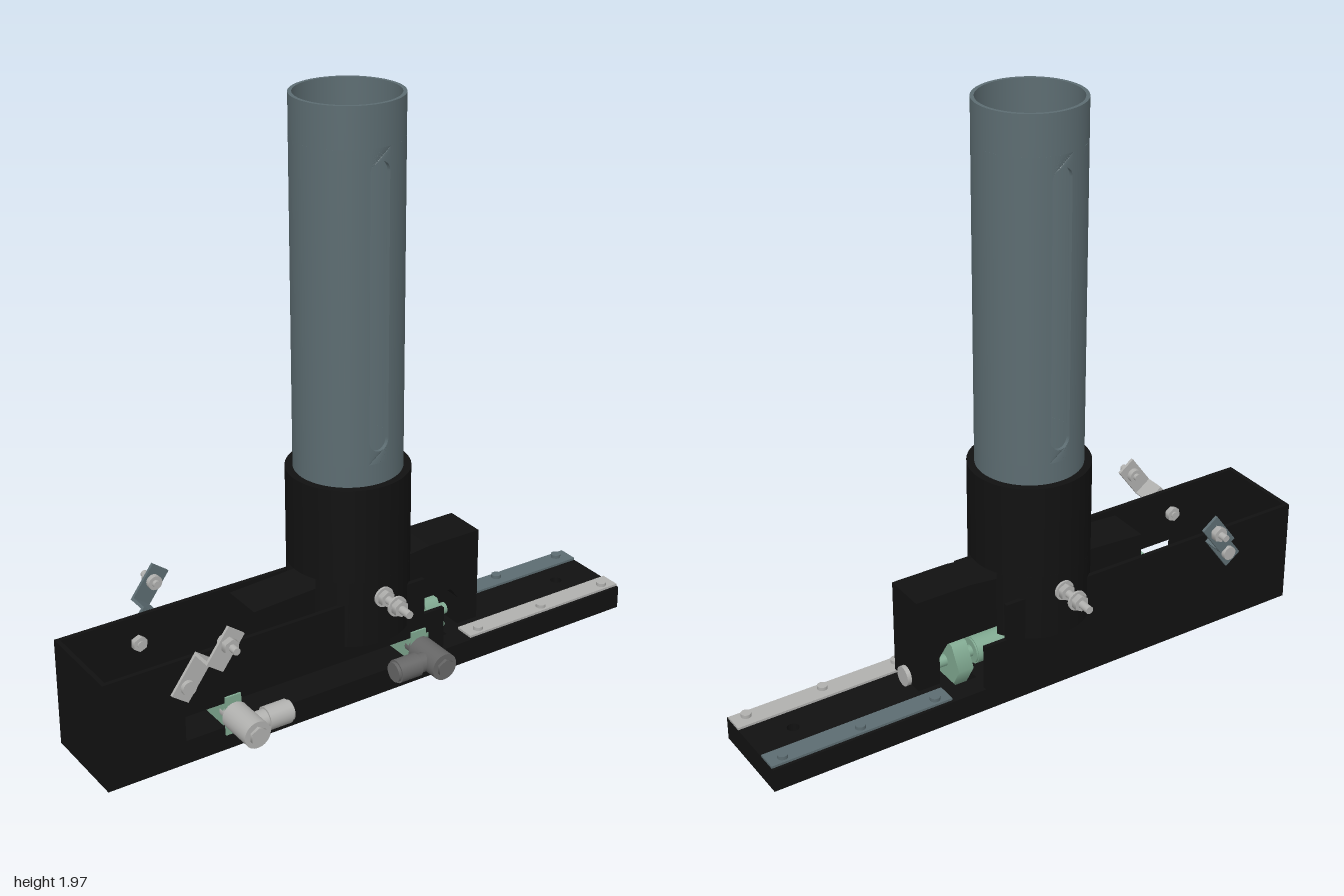
import * as THREE from 'three';

const mat = (color) => new THREE.MeshStandardMaterial({ color, side: THREE.DoubleSide });
const black = mat(0x111111), slate = mat(0x5c6c71), green = mat(0x7fa890);
const light = mat(0xb0b0ae), dark = mat(0x666666);
const CX = -0.03; // column axis

export function createModel() {
  const root = new THREE.Group();

  const add = (name, geo, m, x = 0, y = 0, z = 0, parent = root) => {
    const mesh = new THREE.Mesh(geo, m);
    mesh.name = name;
    mesh.position.set(x, y, z);
    parent.add(mesh);
    return mesh;
  };
  const box = (name, m, x0, x1, y0, y1, z0, z1, parent) =>
    add(name, new THREE.BoxGeometry(x1 - x0, y1 - y0, z1 - z0), m,
      (x0 + x1) / 2, (y0 + y1) / 2, (z0 + z1) / 2, parent);
  // Cylinder from a to b along one axis, centred on p
  const rod = (name, m, axis, r, a, b, p, parent, sides = 24) => {
    const g = new THREE.CylinderGeometry(r, r, b - a, sides);
    if (axis === 'x') g.rotateZ(Math.PI / 2);
    if (axis === 'z') g.rotateX(Math.PI / 2);
    const mesh = add(name, g, m, ...p, parent);
    mesh.position[axis] = (a + b) / 2;
    return mesh;
  };
  const poly = (pts) => new THREE.Shape(pts.map(([x, y]) => new THREE.Vector2(x, y)));
  const extrude = (shape, depth, curveSegments = 24) =>
    new THREE.ExtrudeGeometry(shape, { depth, bevelEnabled: false, curveSegments });
  // Upright pipe sector; angle measured from +x towards +z
  const sector = (name, m, ro, ri, a0, a1, y0, y1) => {
    const s = new THREE.Shape();
    s.absarc(0, 0, ro, a0, a1, false);
    s.absarc(0, 0, ri, a1, a0, true);
    const g = extrude(s, y1 - y0, 32);
    g.rotateX(Math.PI / 2);
    add(name, g, m, CX, y1, 0);
  };
  const ring = (name, m, ro, ri, y0, y1) => {
    const pts = [[ri, y0], [ro, y0], [ro, y0], [ro, y1], [ro, y1], [ri, y1], [ri, y1], [ri, y0]];
    add(name, new THREE.LatheGeometry(pts.map(([x, y]) => new THREE.Vector2(x, y)), 64), m, CX);
  };

  // Base slab with end holes and a pocket under the nut
  const plan = poly([[-1, -0.16], [1, -0.16], [1, 0.16], [-1, 0.16]]);
  for (const x of [-0.92, 0.85]) {
    const hole = new THREE.Path();
    hole.absarc(x, 0, 0.02, 0, Math.PI * 2, true);
    plan.holes.push(hole);
  }
  plan.holes.push(poly([[0.23, -0.085], [0.23, 0.085], [0.31, 0.085], [0.31, -0.085]]));
  const slab = extrude(plan, 0.08);
  slab.rotateX(-Math.PI / 2);
  add('baseSlab', slab, black);

  // Channel walls; the front one has a window for the cylinder
  const outline = [[-1, 0.08], [0.24, 0.08], [0.24, 0.24], [0.16, 0.24], [0.16, 0.37], [-1, 0.37]];
  const frontShape = poly(outline);
  frontShape.holes.push(poly([[-0.73, 0.082], [-0.73, 0.168], [0.19, 0.168], [0.19, 0.082]]));
  add('frontWall', extrude(frontShape, 0.015), black, 0, 0, 0.145);
  add('backWall', extrude(poly(outline), 0.015), black, 0, 0, -0.16);
  box('endWall', black, -1, -0.985, 0.08, 0.37, -0.145, 0.145);

  // Sliding arm that carries the column
  add('slidingArm', extrude(poly([[-0.43, 0.24], [0.33, 0.24], [0.36, 0.2], [0.36, 0.1], [0.44, 0.1],
    [0.44, 0.43], [0.24, 0.43], [0.15, 0.42], [-0.17, 0.41], [-0.43, 0.395]]), 0.15), black, 0, 0, -0.075);

  // Collar: full ring above, two legs straddling the channel below
  ring('collar', black, 0.2, 0.172, 0.45, 0.77);
  const notch = Math.asin(0.075 / 0.2) + 0.06;
  for (const a of [0, Math.PI]) sector('collarLeg', black, 0.2, 0.165, a + notch, a + Math.PI - notch, 0.22, 0.45);

  // Column: plain ends, side shells, and bent strips with round-ended slots
  const R = 0.175, RI = 0.163, W = 0.215, yLow = 0.84, yHigh = 1.84;
  ring('columnBase', slate, R, RI, 0.46, yLow);
  ring('columnTop', slate, R, RI, yHigh, 1.97);
  for (const mid of [0, Math.PI]) {
    sector('columnSide', slate, R, RI, mid - Math.PI / 2 + W, mid + Math.PI / 2 - W, yLow, yHigh);
    const edge = [];
    for (let i = 0; i <= 8; i++) edge.push([W * R * (i / 4 - 1), yLow]);
    for (let i = 8; i >= 0; i--) edge.push([W * R * (i / 4 - 1), yHigh]);
    const strip = poly(edge), slot = new THREE.Path();
    slot.absarc(0, 1.765, 0.035, 0, Math.PI, false);
    slot.absarc(0, 0.915, 0.035, Math.PI, Math.PI * 2, false);
    strip.holes.push(slot);
    const g = extrude(strip, R - RI, 12), p = g.attributes.position;
    for (let i = 0; i < p.count; i++) {
      const a = p.getX(i) / R, r = RI + p.getZ(i);
      p.setXYZ(i, Math.sin(a) * r, p.getY(i), Math.cos(a) * r);
    }
    g.computeVertexNormals();
    add('columnSlotStrip', g, slate, CX).rotation.y = mid;
  }

  // Pneumatic cylinder, nut and piston rod
  const Y = 0.125;
  rod('cylinderBody', green, 'x', 0.043, -0.73, 0.2, [0, Y, 0]);
  for (const x of [-0.565, 0.135]) {
    rod('cylinderHead', green, 'x', 0.047, x - 0.06, x + 0.06, [0, Y, 0]);
    box('portBlock', green, x - 0.028, x + 0.028, 0.083, 0.167, 0, 0.15);
    box('portPlate', green, x - 0.028, x + 0.028, 0.055, 0.19, 0.16, 0.167);
  }
  const nut = new THREE.CylinderGeometry(0.09, 0.09, 0.055, 6);
  nut.rotateZ(Math.PI / 2);
  add('hexNut', nut, green, 0.27, Y, 0);
  rod('pistonRod', green, 'x', 0.02, 0.2, 0.4, [0, Y, 0]);
  rod('rodEnd', light, 'x', 0.034, 0.42, 0.455, [0, 0.12, 0]);

  // Elbow fittings on the front
  const elbow = (x, dir, m) => {
    const f = new THREE.Group();
    f.name = 'elbowFitting';
    root.add(f);
    rod('fittingBody', m, 'z', 0.046, 0.175, 0.31, [x, Y, 0], f);
    rod('fittingStem', m, 'z', 0.03, 0.13, 0.18, [x, Y, 0], f);
    rod('fittingCap', m, 'z', 0.03, 0.31, 0.32, [x, Y, 0], f, 6);
    const span = (a, b) => [x + dir * a, x + dir * b].sort((p, q) => p - q);
    rod('fittingArm', m, 'x', 0.032, ...span(0, 0.07), [0, Y, 0.245], f);
    rod('fittingSleeve', m, 'x', 0.039, ...span(0.065, 0.145), [0, Y, 0.245], f);
    rod('fittingRelease', m, 'x', 0.033, ...span(0.145, 0.155), [0, Y, 0.245], f);
  };
  elbow(-0.565, 1, light);
  elbow(0.135, -1, dark);

  // Guide strips with screws
  for (const s of [1, -1]) {
    const m = s > 0 ? light : slate;
    box('guideStrip', m, 0.36, 1, 0.08, 0.088, s > 0 ? 0.08 : -0.15, s > 0 ? 0.15 : -0.08);
    for (const x of [0.41, 0.68, 0.95]) rod('stripScrew', m, 'y', 0.017, 0.088, 0.1, [x, 0, s * 0.125]);
  }

  for (const s of [1, -1]) {
    // Collar clamp bolt
    const bolt = new THREE.Group();
    bolt.name = 'clampBolt';
    root.add(bolt);
    const c = [CX, 0.385, 0];
    const along = (name, r, a, b, p, g, sides) =>
      rod(name, light, 'z', r, ...(s > 0 ? [a, b] : [-b, -a]), p, g, sides);
    along('thread', 0.013, 0.17, 0.345, c, bolt);
    along('washer', 0.034, 0.2, 0.208, c, bolt);
    along('innerNut', 0.027, 0.208, 0.228, c, bolt, 6);
    along('outerWasher', 0.034, 0.272, 0.28, c, bolt);
    along('outerNut', 0.027, 0.28, 0.302, c, bolt, 6);

    // Tilted stepped bracket
    const bracket = new THREE.Group();
    bracket.name = 'steppedBracket';
    bracket.position.set(-0.668, 0.355, 0);
    bracket.rotation.z = 0.94;
    root.add(bracket);
    const m = s > 0 ? light : slate;
    const slabZ = (name, x0, x1, a, b) =>
      box(name, m, x0, x1, -0.034, 0.034, Math.min(s * a, s * b), Math.max(s * a, s * b), bracket);
    slabZ('bracketFoot', -0.14, 0.012, 0.161, 0.171);
    slabZ('bracketStep', 0.002, 0.012, 0.161, 0.24);
    slabZ('bracketTop', 0.002, 0.135, 0.23, 0.24);
    along('footScrew', 0.012, 0.12, 0.18, [-0.095, 0, 0], bracket);
    along('footHead', 0.024, 0.171, 0.186, [-0.095, 0, 0], bracket);
    along('footNut', 0.026, 0.125, 0.145, [-0.095, 0, 0], bracket, 6);
    along('topScrew', 0.012, 0.2, 0.29, [0.085, 0, 0], bracket);
    along('topNut', 0.027, 0.24, 0.262, [0.085, 0, 0], bracket, 6);
    along('topHead', 0.024, 0.212, 0.23, [0.085, 0, 0], bracket);
  }
  return root;
}
